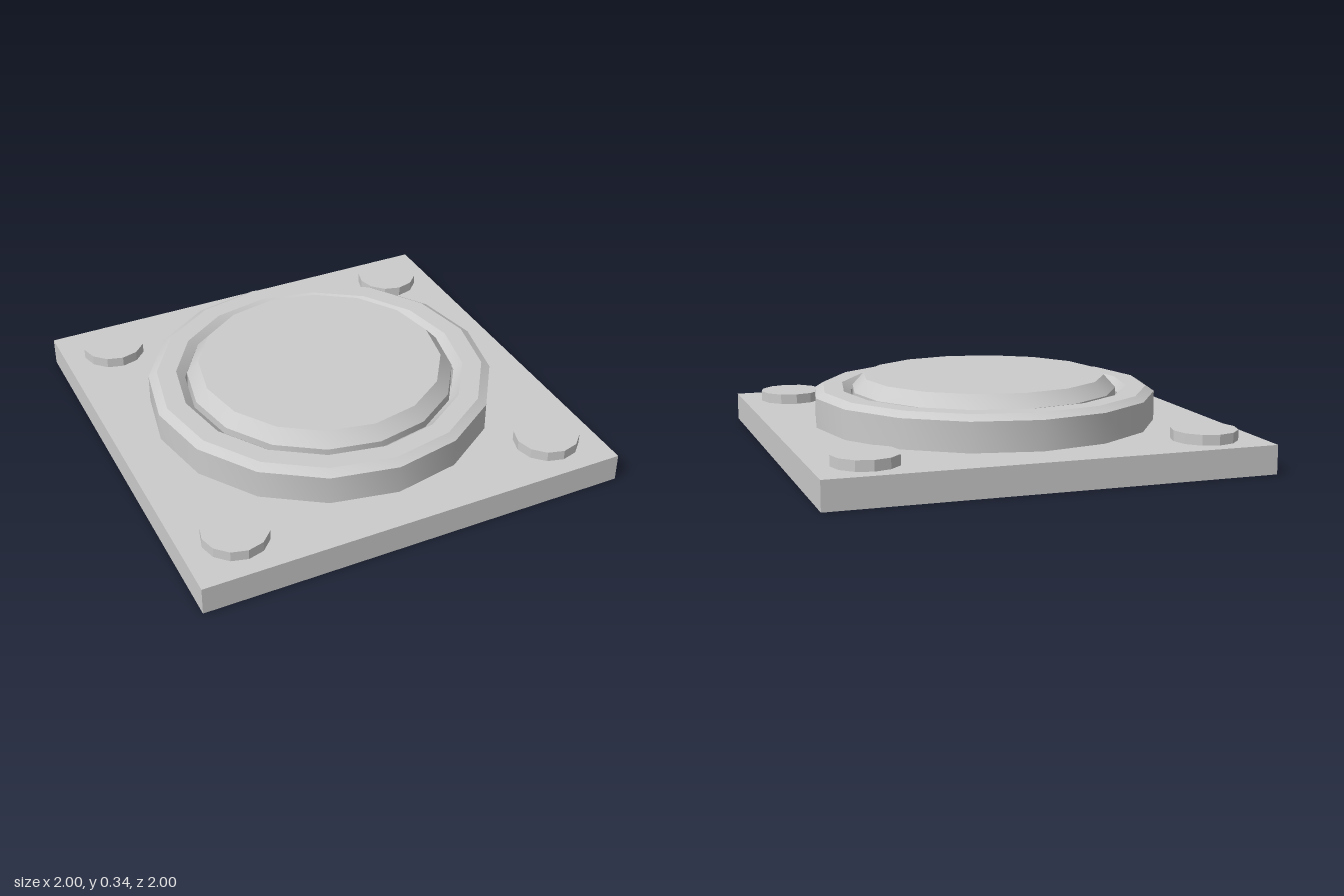
import * as THREE from 'three';
import { toCreasedNormals } from 'three/addons/utils/BufferGeometryUtils.js';

const material = new THREE.MeshStandardMaterial({ color: 0xcccccc, side: THREE.DoubleSide });

function addMesh(group, name, geometry, x = 0, z = 0) {
  const mesh = new THREE.Mesh(geometry, material);
  mesh.name = name;
  mesh.position.set(x, 0, z);
  group.add(mesh);
}

// Turned shell from [radius, height] pairs: smooth round the side, sharp along the profile
function turned(profile, segments) {
  const points = profile.map(([r, y]) => new THREE.Vector2(r, y));
  return toCreasedNormals(new THREE.LatheGeometry(points, segments), 0.5);
}

export function createModel() {
  const model = new THREE.Group();
  model.name = 'roundButtonPlate';

  // Square base plate, hollow and open underneath
  const plate = new THREE.BoxGeometry(2, 0.13, 2).translate(0, 0.065, 0);
  plate.setIndex(Array.from(plate.index.array).filter((_, i) => i < 18 || i >= 24));
  plate.clearGroups();
  addMesh(model, 'basePlate', plate);

  // Bevelled collar, its outer wall running down through the plate
  addMesh(model, 'collar', turned([
    [0.8, 0.02], [0.8, 0.265], [0.76, 0.29], [0.67, 0.29], [0.63, 0.255], [0.63, 0.14],
  ], 16));

  // Bevelled centre button, open underneath
  addMesh(model, 'button', turned([
    [0.62, 0.06], [0.62, 0.28], [0.565, 0.34], [0, 0.34],
  ], 16));

  // Bolt heads in the four corners
  const bolt = turned([[0.148, 0.13], [0.148, 0.177], [0, 0.177]], 12);
  for (const x of [-0.757, 0.767]) {
    for (const z of [-0.783, 0.767]) addMesh(model, 'boltHead', bolt, x, z);
  }
  return model;
}
